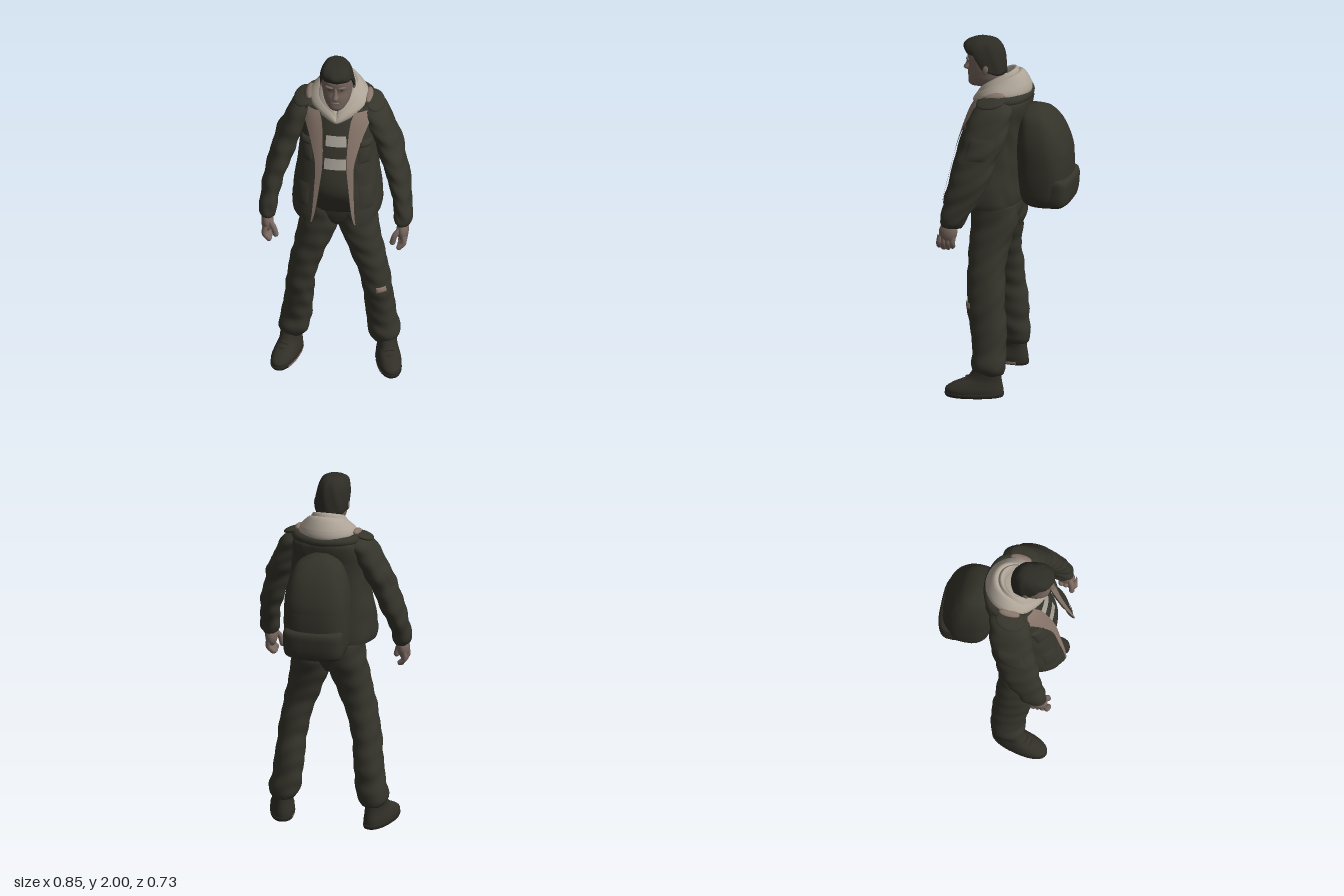
import * as THREE from 'three';

const mat = (name, color, side = THREE.FrontSide) => {
  const m = new THREE.MeshStandardMaterial({ color, side });
  m.name = name;
  return m;
};

// Smoothly interpolated row of a table sorted by its first column (height)
function rowAt(rows, y) {
  const last = rows.length - 1;
  let i = 0;
  while (i < last - 1 && y > rows[i + 1][0]) i++;
  const a = rows[i], b = rows[i + 1], h = b[0] - a[0];
  const p = rows[Math.max(0, i - 1)], q = rows[Math.min(last, i + 2)];
  const t = Math.min(1, Math.max(0, (y - a[0]) / h)), t2 = t * t, t3 = t2 * t;
  return a.map((v, k) => {
    const m0 = (b[k] - p[k]) / (b[0] - p[0]) * h, m1 = (q[k] - v) / (q[0] - a[0]) * h;
    return (2 * t3 - 3 * t2 + 1) * v + (t3 - 2 * t2 + t) * m0 + (3 * t2 - 2 * t3) * b[k] + (t3 - t2) * m1;
  });
}

const spow = (v, p) => Math.sign(v) * Math.abs(v) ** p;

// Body surface from rows [y, centre x, half width, front z, back z]; angle 0 faces +z
function surface(rows, power = 0.9, fold = 0, side = 1) {
  return (y, t, off = 0) => {
    const [, cx, rx, zf, zb] = rowAt(rows, y);
    const cz = (zf + zb) / 2, rz = (zf - zb) / 2;
    const k = off + fold * Math.sin(y * 48 + 4 * Math.sin(t + side)) * Math.sin(y * 13 + 2 * Math.cos(t - side));
    return [side * cx + (rx + k) * spow(Math.sin(t), power), y, cz + (rz + k) * spow(Math.cos(t), power)];
  };
}

// Grid of points, u around and v upwards; optionally closed round with end caps
function grid(nu, nv, f, closed = false) {
  const pos = [], idx = [], w = closed ? nu : nu + 1;
  for (let j = 0; j <= nv; j++) for (let i = 0; i < w; i++) pos.push(...f(i / nu, j / nv));
  for (let j = 0; j < nv; j++) for (let i = 0; i < nu; i++) {
    const a = j * w + i, b = j * w + (i + 1) % w, c = a + w, d = b + w;
    idx.push(a, b, c, b, d, c);
  }
  if (closed) for (const j of [0, nv]) {
    const mid = [0, 0, 0], n = pos.length / 3;
    for (let i = 0; i < w; i++) for (let k = 0; k < 3; k++) mid[k] += pos[(j * w + i) * 3 + k] / w;
    pos.push(...mid);
    for (let i = 0; i < w; i++) {
      const a = j * w + i, b = j * w + (i + 1) % w;
      idx.push(n, ...(j ? [a, b] : [b, a]));
    }
  }
  const g = new THREE.BufferGeometry();
  g.setAttribute('position', new THREE.Float32BufferAttribute(pos, 3));
  g.setIndex(idx);
  g.computeVertexNormals();
  return g;
}

const loft = (rows, power, fold, side, nv = 36) => {
  const s = surface(rows, power, fold, side), y0 = rows[0][0], y1 = rows[rows.length - 1][0];
  return grid(32, nv, (u, v) => s(y0 + (y1 - y0) * v, u * Math.PI * 2), true);
};

// Raised panel lying on a surface
const patch = (s, y0, y1, t0, t1, off, puff = 0) => grid(12, 8, (u, v) =>
  s(y0 + (y1 - y0) * v, t0 + (t1 - t0) * u, off + puff * Math.sqrt(Math.sin(Math.PI * u) * Math.sin(Math.PI * v) + 1e-6)));

const tube = (pts, r, closed = false) =>
  new THREE.TubeGeometry(new THREE.CatmullRomCurve3(pts.map(p => new THREE.Vector3(...p)), closed), 48, r, 12, closed);

export function createModel() {
  const model = new THREE.Group();
  const cloth = mat('dark olive cloth', 0x36352c, THREE.DoubleSide);
  const trouser = mat('dark trouser cloth', 0x36352c);
  const pack = mat('dark pack fabric', 0x34332a);
  const hairMat = mat('dark hair', 0x2d2c25);
  const leather = mat('boot leather', 0x312f27);
  const rubber = mat('sole rubber', 0x2a2822);
  const skin = mat('skin', 0x78675f);
  const fleece = mat('pinkish fleece', 0x88756a, THREE.DoubleSide);
  const cream = mat('cream hood cloth', 0xaea497, THREE.DoubleSide);
  const stripeMat = mat('pale shirt stripe', 0xa9a399);

  const add = (name, geo, m, parent = model) => {
    const mesh = new THREE.Mesh(geo, m);
    mesh.name = name;
    parent.add(mesh);
    return mesh;
  };
  const blob = (name, m, p, s, rot = [0, 0, 0]) => {
    const mesh = add(name, new THREE.SphereGeometry(1, 20, 14), m);
    mesh.position.set(...p);
    mesh.scale.set(...s);
    mesh.rotation.set(...rot);
  };

  // Trousers
  add('pelvis', loft([[0.89, 0, 0.03, 0.12, 0.03], [0.93, 0, 0.085, 0.168, -0.01], [0.98, 0, 0.155, 0.188, -0.045],
    [1.04, 0, 0.195, 0.198, -0.063], [1.12, 0, 0.195, 0.2, -0.06]], 0.9), trouser);
  const legRows = [[0.13, 0.252, 0.062, 0.135, -0.025], [0.16, 0.25, 0.082, 0.15, -0.035], [0.2, 0.247, 0.087, 0.158, -0.036],
    [0.26, 0.235, 0.084, 0.15, -0.03], [0.35, 0.225, 0.081, 0.165, -0.035], [0.5, 0.21, 0.079, 0.19, -0.02], [0.6, 0.193, 0.083, 0.195, -0.015],
    [0.75, 0.152, 0.095, 0.2, -0.01], [0.88, 0.113, 0.108, 0.2, -0.035], [0.98, 0.1, 0.104, 0.197, -0.06], [1.08, 0.095, 0.1, 0.185, -0.055]];
  // Sleeves
  const armRows = [[1.02, 0.372, 0.04, 0.29, 0.175], [1.045, 0.374, 0.05, 0.3, 0.16], [1.1, 0.372, 0.05, 0.295, 0.135],
    [1.2, 0.355, 0.055, 0.268, 0.07], [1.3, 0.33, 0.064, 0.25, 0.03], [1.4, 0.298, 0.067, 0.225, 0.005], [1.5, 0.262, 0.07, 0.2, -0.035],
    [1.6, 0.215, 0.074, 0.18, -0.05], [1.67, 0.18, 0.07, 0.15, -0.05], [1.72, 0.15, 0.03, 0.08, 0]];
  const bootRows = [[0.012, 0, 0.066, 0.163, -0.155], [0.045, 0, 0.067, 0.163, -0.155], [0.075, 0, 0.06, 0.12, -0.15],
    [0.105, 0, 0.053, 0.05, -0.145], [0.16, 0, 0.056, 0.01, -0.14], [0.2, 0, 0.055, 0.01, -0.13]];
  const soleRows = [[0, 0, 0.064, 0.16, -0.156], [0.01, 0, 0.068, 0.167, -0.159], [0.022, 0, 0.068, 0.167, -0.159]];

  for (const s of [1, -1]) {
    const side = s > 0 ? 'left' : 'right';
    add(side + 'TrouserLeg', loft(legRows, 0.9, 0.004, s, 80), trouser);
    add(side + 'Sleeve', loft(armRows, 0.9, 0.005, s, 70), cloth);
    const arm = surface(armRows, 0.9, 0.005, s);
    add(side + 'SleevePocket', patch(arm, 1.41, 1.53, s * Math.PI / 2 - 0.6, s * Math.PI / 2 + 0.6, 0.001, 0.008), cloth);

    // Boots, turned slightly outwards
    const boot = new THREE.Group();
    boot.name = side + 'Boot';
    boot.position.set(s * 0.28, 0, 0.128);
    boot.rotation.y = s * 0.25;
    add('bootUpper', loft(bootRows, 0.88, 0, 1), leather, boot);
    add('bootSole', loft(soleRows, 0.88, 0, 1, 4), rubber, boot);
    add('soleInset', patch(surface(soleRows, 0.88), 0.004, 0.02, -s * Math.PI / 2 - 0.75, -s * Math.PI / 2 + 0.75, 0.002), fleece, boot);
    for (let i = 0; i < 3; i++)
      add('lace', tube([[-0.025, 0.088 + i * 0.018, 0.067 - i * 0.024], [0, 0.094 + i * 0.018, 0.075 - i * 0.026],
        [0.025, 0.088 + i * 0.018, 0.067 - i * 0.024]], 0.004), leather, boot);
    model.add(boot);

    // Hands
    blob(side + 'Palm', skin, [s * 0.374, 0.985, 0.255], [0.034, 0.064, 0.052], [-0.2, 0, 0]);
    for (let i = 0; i < 4; i++) {
      const z = 0.222 + i * 0.025, tip = 0.885 + Math.abs(i - 1.6) * 0.009;
      add(side + 'Finger', tube([[s * 0.382, 0.97, z], [s * 0.384, 0.925, z + 0.008], [s * 0.36, tip, z + 0.012]], 0.0155), skin);
      blob(side + 'Fingertip', skin, [s * 0.36, tip, z + 0.012], [0.0155, 0.0155, 0.0155]);
    }
    add(side + 'Thumb', tube([[s * 0.362, 1, 0.28], [s * 0.335, 0.965, 0.298], [s * 0.323, 0.925, 0.3]], 0.016), skin);
    blob(side + 'ThumbTip', skin, [s * 0.323, 0.925, 0.3], [0.016, 0.018, 0.016]);

    // Face details
    blob(side + 'Ear', skin, [s * 0.09, 1.845, 0.125], [0.01, 0.028, 0.018], [-0.15, 0, 0]);
    blob(side + 'Eye', hairMat, [s * 0.034, 1.868, 0.236], [0.01, 0.0035, 0.005], [0, s * 0.35, 0]);
    blob(side + 'Brow', skin, [s * 0.036, 1.884, 0.238], [0.024, 0.008, 0.01], [0, s * 0.35, s * 0.05]);
  }
  add('kneeTear', patch(surface(legRows, 0.9, 0.004, 1), 0.5, 0.532, 0.12, 0.85, 0.003, 0.005), fleece);

  // Shirt with two pale stripes
  const shirtRows = [[1.03, 0, 0.19, 0.2, -0.04], [1.2, 0, 0.195, 0.282, -0.04], [1.4, 0, 0.18, 0.25, -0.05],
    [1.55, 0, 0.16, 0.205, -0.06], [1.65, 0, 0.12, 0.165, -0.05], [1.7, 0, 0.07, 0.13, -0.02]];
  const shirt = surface(shirtRows);
  add('shirt', loft(shirtRows), cloth);
  for (const [a, b] of [[1.352, 1.415], [1.482, 1.542]]) add('shirtStripe', patch(shirt, a, b, -0.3, 0.3, 0.003), stripeMat);

  // Open jacket; extra columns are half opening and lapel width
  const jacketRows = [[1.045, 0, 0.23, 0.37, -0.055, 0.118, 0.004], [1.11, 0, 0.245, 0.355, -0.065, 0.1, 0.014],
    [1.25, 0, 0.235, 0.32, -0.065, 0.08, 0.026], [1.4, 0, 0.215, 0.285, -0.075, 0.064, 0.04], [1.55, 0, 0.21, 0.237, -0.09, 0.068, 0.075],
    [1.64, 0, 0.205, 0.2, -0.11, 0.078, 0.098], [1.69, 0, 0.185, 0.165, -0.11, 0.095, 0.07], [1.73, 0, 0.12, 0.11, -0.07, 0.09, 0.02]];
  const jacket = surface(jacketRows, 0.8);
  const angleFor = (y, x) => Math.asin(Math.min(1, x / rowAt(jacketRows, y)[2]) ** 1.25);
  const front = (y, extra) => { const r = rowAt(jacketRows, y); return angleFor(y, r[5] + extra * r[6]); };
  // Hem rises towards the back
  const around = (y1, off) => (u, v) => {
    const y0 = 1.045 + 0.035 * Math.sqrt(Math.sin(Math.PI * u) + 1e-9), y = y0 + (y1 - y0) * v, t0 = front(y, 0);
    return jacket(y, t0 + (2 * Math.PI - 2 * t0) * u, off + 0.003 * Math.sin(y * 31 + 4 * Math.sin(u * 16)) * Math.sin(u * 23 - y * 9));
  };
  add('jacketBody', grid(72, 40, around(1.73, 0)), cloth);
  add('jacketHem', grid(72, 4, around(1.115, 0.004)), cloth);
  for (const s of [1, -1]) {
    const side = s > 0 ? 'left' : 'right';
    add(side + 'Lapel', grid(8, 30, (u, v) => {
      const y = 1.06 + 0.62 * v;
      return jacket(y, s * front(y, s > 0 ? u : 1 - u), 0.009);
    }), fleece);
    const pocket = (name, y0, y1, x0, x1, puff) => {
      const a = angleFor(y0, x0), b = angleFor(y0, x1);
      add(side + name, patch(jacket, y0, y1, s > 0 ? a : -b, s > 0 ? b : -a, 0.002, puff), cloth);
    };
    pocket('ChestPocket', 1.4, 1.52, 0.125, 0.19, 0.012);
    pocket('ChestPocketFlap', 1.49, 1.53, 0.123, 0.192, 0.017);
    pocket('LowerPocket', 1.14, 1.27, 0.14, 0.215, 0.007);
    // Turned-out collar with fleece showing inside
    blob(side + 'CollarPoint', cloth, [s * 0.195, 1.7, 0.065], [0.06, 0.018, 0.085], [0.2, 0, -s * 0.3]);
    blob(side + 'CollarLining', fleece, [s * 0.163, 1.723, 0.05], [0.024, 0.02, 0.06], [0.2, 0, -s * 0.35]);
  }
  add('jacketCollar', tube([[0.15, 1.67, 0.14], [0.18, 1.7, 0.06], [0.14, 1.7, -0.05], [0, 1.7, -0.097],
    [-0.14, 1.7, -0.05], [-0.18, 1.7, 0.06], [-0.15, 1.67, 0.14]], 0.026), cloth);

  // Hood: tall at the back, dropping to a V at the throat
  add('hoodBase', loft([[1.64, 0, 0.04, 0.18, 0.1], [1.69, 0, 0.11, 0.17, -0.06], [1.745, 0, 0.12, 0.15, -0.08], [1.775, 0, 0.09, 0.12, -0.05]], 0.9), cream);
  const ring = (rx, zf, zb, wide, drop) => grid(64, 24, (u, v) => {
    const t = u * Math.PI * 2, c = Math.cos(t), w = (1 - c) / 2, f = v * Math.PI * 2;
    const low = 1.62 + 0.08 * Math.min(1, w * 1.8), top = 1.68 + 0.167 * w ** 0.5 - drop;
    const r = wide * (0.7 + 0.4 * w) * Math.cos(f) * (1 - 0.35 * Math.sin(f)) - 0.012 * Math.sin(f) + 0.004 * Math.sin(2 * f + 5 * w);
    const pinch = 1 - 0.6 * Math.max(0, c) ** 3;
    return [(rx * pinch + r) * Math.sin(t), (low + top) / 2 + (top - low) / 2 * Math.sin(f), (zf + zb) / 2 + ((zf - zb) / 2 + r) * c];
  });
  add('hoodOuterFold', ring(0.116, 0.185, -0.065, 0.042, 0.014), cream);
  add('hoodInnerFold', ring(0.1, 0.185, -0.035, 0.026, 0), cream);

  // Head
  add('neck', loft([[1.66, 0, 0.06, 0.17, 0.02], [1.83, 0, 0.06, 0.17, 0.05]]), skin);
  add('face', loft([[1.725, 0, 0.03, 0.23, 0.15], [1.74, 0, 0.05, 0.242, 0.1], [1.77, 0, 0.07, 0.243, 0.065],
    [1.81, 0, 0.08, 0.243, 0.05], [1.85, 0, 0.086, 0.238, 0.045], [1.885, 0, 0.086, 0.245, 0.045], [1.92, 0, 0.082, 0.242, 0.058],
    [1.95, 0, 0.06, 0.21, 0.08], [1.97, 0, 0.03, 0.17, 0.11]], 0.88), skin);
  add('nose', loft([[1.808, 0, 0.01, 0.25, 0.22], [1.818, 0, 0.018, 0.272, 0.22], [1.84, 0, 0.012, 0.262, 0.22],
    [1.885, 0, 0.008, 0.244, 0.22]], 0.9, 0, 1, 12), skin);
  blob('mouth', fleece, [0, 1.783, 0.241], [0.024, 0.004, 0.005]);
  // Hair: low at the nape, sideburns at the temples, swept forward over the brow
  add('hair', grid(64, 24, (u, v) => {
    const t = u * Math.PI * 2, c = Math.cos(t);
    const low = c > 0 ? 1.842 + 0.08 * Math.min(1, c * 2.2) : 1.842 - 0.03 * Math.min(1, -c * 1.5);
    const a = v * Math.PI / 2, up = Math.sin(a), y = low + (2 - low) * up;
    const r = Math.cos(a) ** 0.56 * (1 + 0.015 * Math.sin(t * 9 + y * 30));
    const quiff = Math.max(0, c) * 0.022 * Math.sin(Math.PI * up);
    return [0.096 * r * spow(Math.sin(t), 0.9) - 0.008 * up, y, 0.14 + quiff + (c > 0 ? 0.116 : 0.112) * r * spow(c, 0.9)];
  }, true), hairMat);

  // Backpack
  const packRows = [[1.07, 0, 0.1, -0.12, -0.26], [1.1, 0, 0.155, -0.08, -0.325], [1.2, 0, 0.178, -0.06, -0.343], [1.35, 0, 0.181, -0.05, -0.343],
    [1.45, 0, 0.174, -0.05, -0.318], [1.55, 0, 0.147, -0.06, -0.275], [1.61, 0, 0.108, -0.075, -0.225], [1.642, 0, 0.04, -0.1, -0.17]];
  add('backpack', loft(packRows, 0.72), pack);
  add('packPocket', loft([[1.085, 0, 0.13, -0.2, -0.325], [1.11, 0, 0.16, -0.2, -0.352], [1.2, 0, 0.168, -0.2, -0.365],
    [1.245, 0, 0.166, -0.2, -0.36], [1.262, 0, 0.155, -0.2, -0.335]], 0.6), pack);
  add('packTopPanel', patch(surface(packRows, 0.72), 1.36, 1.58, Math.PI - 1.0, Math.PI + 1.0, 0.001, 0.006), pack);
  return model;
}
